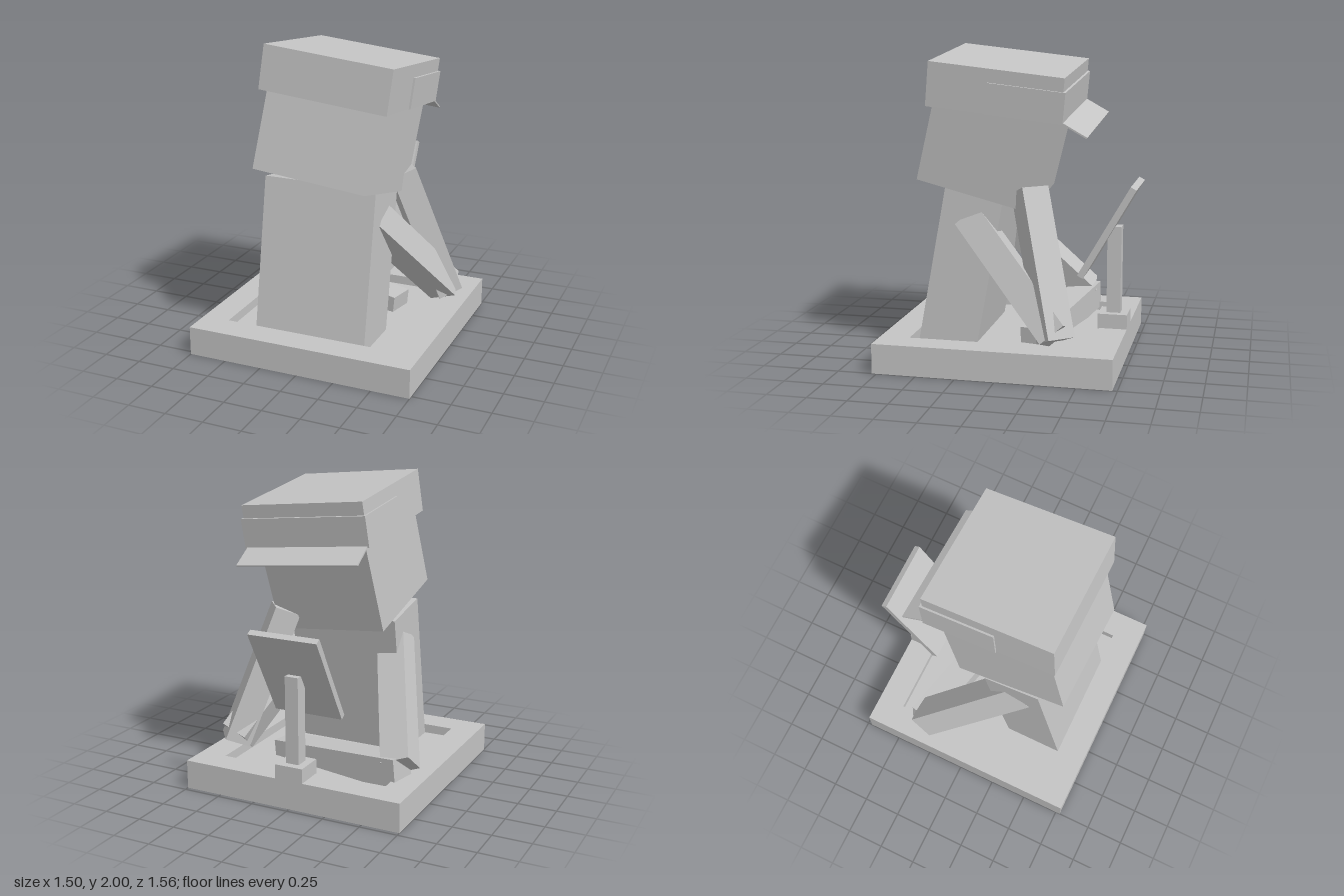
import * as THREE from 'three';

const V = (x, y, z) => new THREE.Vector3(x, y, z);
const rad = THREE.MathUtils.degToRad;

export function createModel() {
  const stone = new THREE.MeshStandardMaterial({ color: 0xc4c4c4 });
  stone.name = 'paleGrey';
  const model = new THREE.Group();
  model.name = 'seatedReader';

  const add = (name, geometry, parent = model) => {
    const mesh = new THREE.Mesh(geometry, stone);
    mesh.name = name;
    parent.add(mesh);
    return mesh;
  };
  // Box with size, centre and pitch / roll in degrees
  const box = (name, size, pos, pitch = 0, roll = 0, parent = model) => {
    const mesh = add(name, new THREE.BoxGeometry(...size), parent);
    mesh.position.set(...pos);
    mesh.rotation.set(rad(pitch), 0, rad(roll));
    return mesh;
  };
  // Square-ended limb running from a to b, with its width along a side vector
  const limb = (name, a, b, side, width, depth) => {
    const along = b.clone().sub(a);
    const length = along.length();
    along.normalize();
    const v = along.clone().cross(side).normalize();
    const u = v.clone().cross(along);
    const mesh = add(name, new THREE.BoxGeometry(width, depth, length));
    mesh.quaternion.setFromRotationMatrix(new THREE.Matrix4().makeBasis(u, v, along));
    mesh.position.copy(a).add(b).multiplyScalar(0.5);
    return mesh;
  };

  // Base: raised rim around a shallow recess
  const rect = (T, x, y0, y1) => {
    const p = new T();
    p.moveTo(-x, y0);
    p.lineTo(x, y0);
    p.lineTo(x, y1);
    p.lineTo(-x, y1);
    p.closePath();
    return p;
  };
  const rimShape = rect(THREE.Shape, 0.75, -0.78, 0.72);
  rimShape.holes.push(rect(THREE.Path, 0.57, -0.59, 0.54));
  const rim = new THREE.ExtrudeGeometry(rimShape, { depth: 0.19, bevelEnabled: false });
  rim.rotateX(-Math.PI / 2);
  add('baseRim', rim);
  box('baseFloor', [1.14, 0.13, 1.13], [0, 0.065, 0.025]);

  // Body and bowed head
  box('torso', [0.75, 1.04, 0.38], [0, 0.6, 0.307], -10.4);
  box('head', [0.755, 0.6, 0.745], [0.03, 1.4, 0.145], -14.5, -5.7);

  // Cap with a band round its face side and a thin sloping brim
  const cap = new THREE.Group();
  cap.name = 'cap';
  cap.position.set(0.069, 1.773, 0.055);
  cap.rotation.set(rad(-6.4), 0, rad(-5.8));
  model.add(cap);
  box('crown', [0.845, 0.28, 0.85], [0, 0, 0], 0, 0, cap);
  box('capBand', [0.87, 0.196, 0.485], [0, -0.043, -0.1975], 0, 0, cap);
  const slope = rad(23.5);
  box('brim', [0.845, 0.01, 0.18],
    [0, -0.132 - 0.09 * Math.sin(slope), -0.43 - 0.09 * Math.cos(slope)], -23.5, 0, cap);

  // Arms reaching down to the feet
  for (const s of [-1, 1]) {
    limb(s < 0 ? 'rightArm' : 'leftArm',
      V(s * 0.59, 0.265, -0.35), V(s * 0.28, 0.92, 0.26),
      V(-s * 0.93, -0.33, -0.13), 0.19, 0.185);
  }

  // One leg raised, the other folded flat across the floor
  limb('leftLeg', V(0.603, 0.24, -0.35), V(0.333, 1.12, -0.13), V(-0.62, 0, -0.79), 0.18, 0.17);
  limb('rightLeg', V(-0.61, 0.245, -0.36), V(0.34, 0.145, -0.16), V(-0.2, 0, 0.97), 0.18, 0.18);

  // Reading stand
  box('standFoot', [0.19, 0.1, 0.19], [0, 0.235, -0.625]);
  box('standPost', [0.09, 0.57, 0.09], [0, 0.565, -0.625]);
  box('readingBoard', [0.47, 0.665, 0.042], [0, 0.842, -0.6], -30);

  return model;
}
